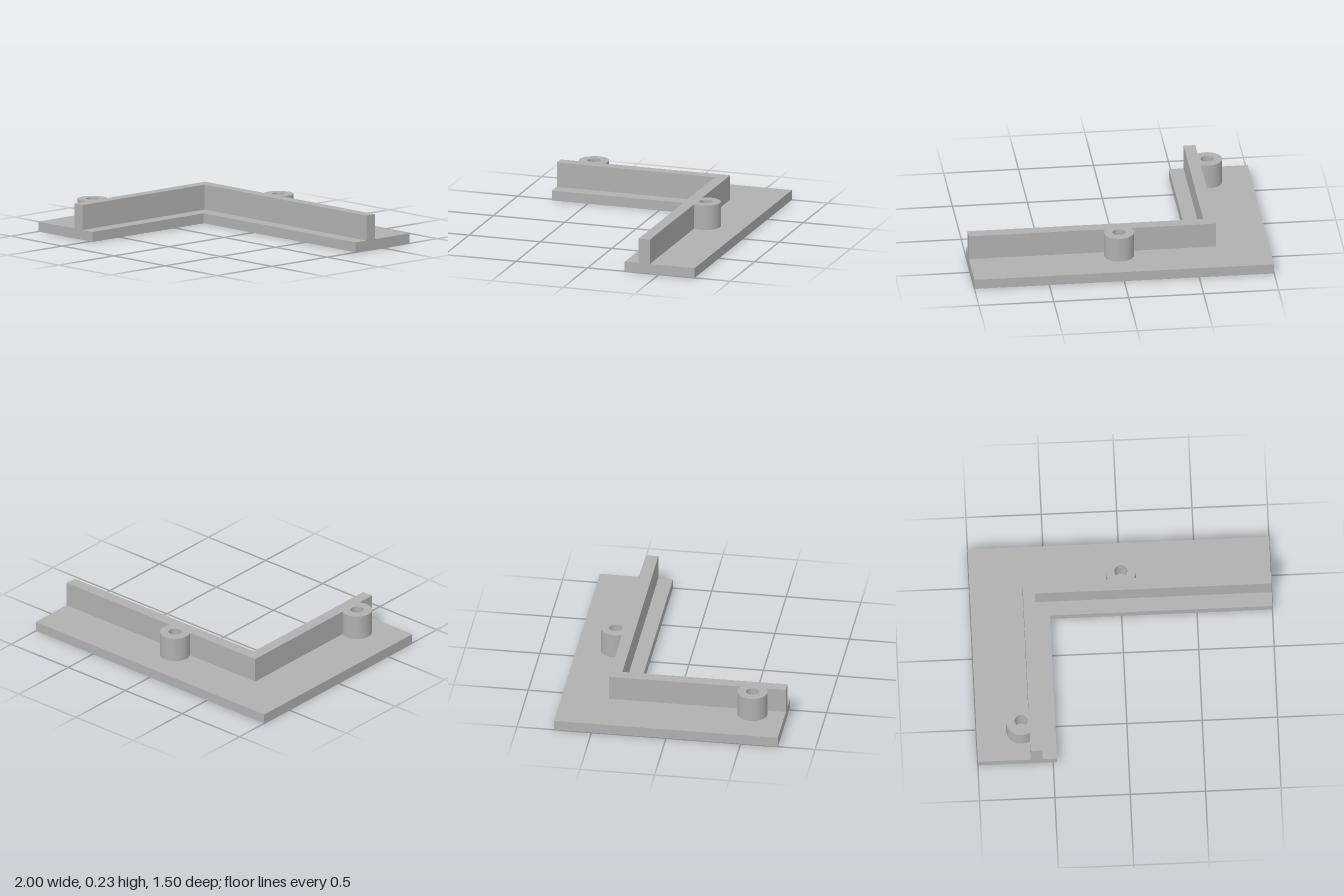
import * as THREE from 'three';
import { toCreasedNormals } from 'three/addons/utils/BufferGeometryUtils.js';

const BASE_H = 0.067, TOP = 0.235;
const BOSS_R = 0.1, HOLE_R = 0.043, BOSS_OFFSET = 0.053;

// Extrude a plan outline (x, -z) upwards from y0 to y1
function extrudeUp(shape, y0, y1) {
  const geo = new THREE.ExtrudeGeometry(shape, { depth: y1 - y0, bevelEnabled: false, curveSegments: 40 });
  geo.rotateX(-Math.PI / 2);
  geo.translate(0, y0, 0);
  return toCreasedNormals(geo, 0.5);
}

export function createModel() {
  const group = new THREE.Group();
  group.name = 'cornerBracket';
  const grey = new THREE.MeshStandardMaterial({ color: 0xb0b0b0 });
  grey.name = 'grey';

  const add = (name, geo) => {
    const mesh = new THREE.Mesh(geo, grey);
    mesh.name = name;
    group.add(mesh);
  };

  // L-shaped base plate
  const plate = new THREE.Shape([
    [-1, -0.75], [-0.475, -0.75], [-0.475, 0.26], [1, 0.26], [1, 0.75], [-1, 0.75],
  ].map(([x, y]) => new THREE.Vector2(x, y)));
  add('basePlate', extrudeUp(plate, 0, BASE_H));

  // Upright L-shaped wall with a round screw boss on the outside of each arm
  const wallX = -0.65, wallY = 0.437;
  const bosses = [
    { x: 0.005, y: wallY + BOSS_OFFSET, turn: 0 },
    { x: wallX - BOSS_OFFSET, y: -0.535, turn: Math.PI / 2 },
  ];
  const dip = Math.asin(BOSS_OFFSET / BOSS_R);
  const wall = new THREE.Shape();
  wall.moveTo(wallX, -0.75);
  wall.lineTo(-0.572, -0.75);
  wall.lineTo(-0.572, 0.358);
  wall.lineTo(1, 0.358);
  wall.lineTo(1, wallY);
  bosses.forEach((b, i) => {
    if (i === 1) wall.lineTo(wallX, wallY);
    wall.absarc(b.x, b.y, BOSS_R, b.turn - dip, b.turn + Math.PI + dip, false);
    const hole = new THREE.Path();
    hole.absarc(b.x, b.y, HOLE_R, 0, Math.PI * 2, true);
    wall.holes.push(hole);
  });
  wall.closePath();
  add('wallWithBosses', extrudeUp(wall, BASE_H, TOP));

  return group;
}
